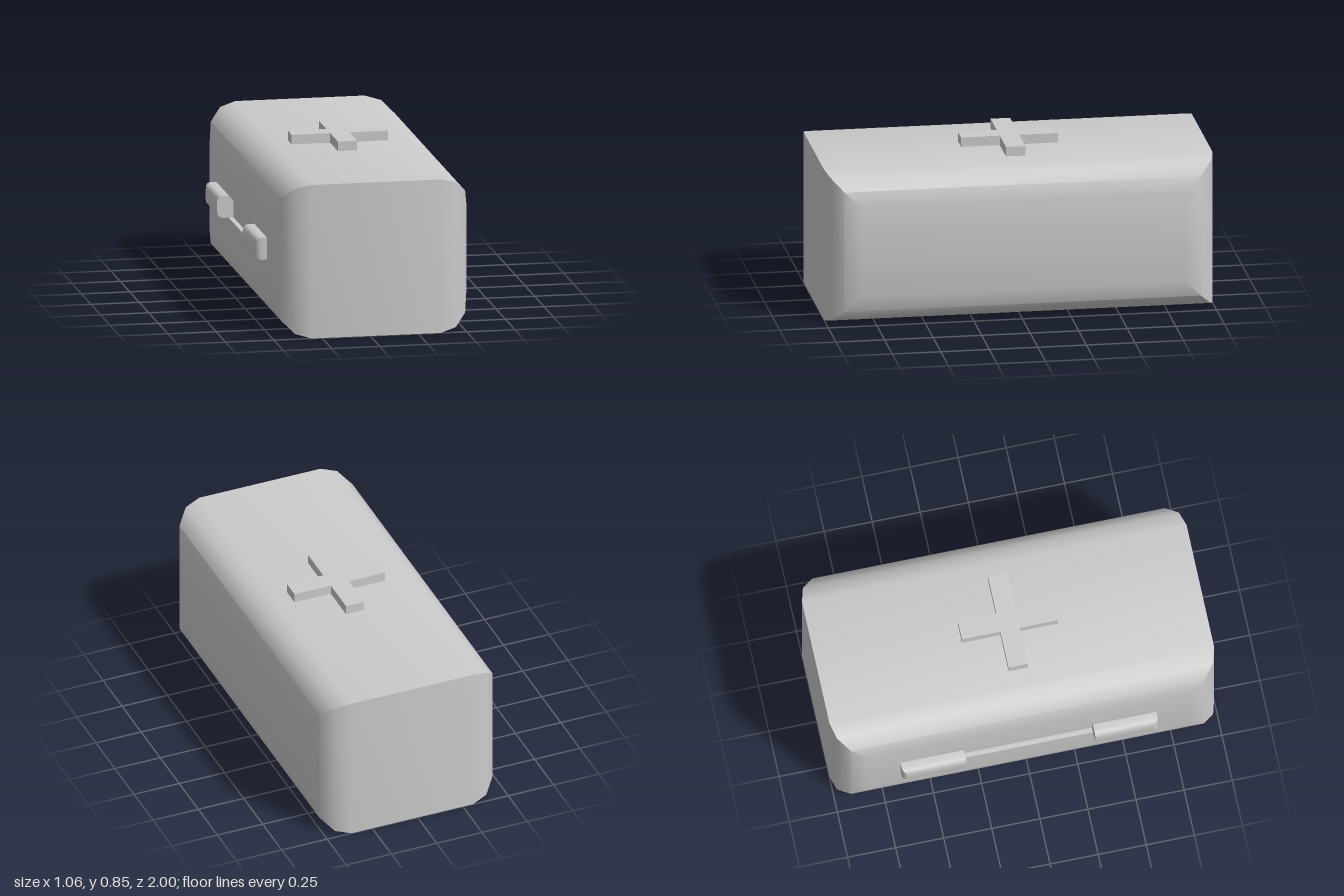
import * as THREE from 'three';
import { toCreasedNormals } from 'three/addons/utils/BufferGeometryUtils.js';

const material = new THREE.MeshStandardMaterial({ color: 0xcccccc });
const STEPS = 3;

// Closed solid from rectangles [x, y0, y1, z0, z1] stacked along x
function loftRects(rects) {
  const positions = [];
  const index = [];
  rects.forEach(([x, y0, y1, z0, z1], i) => {
    positions.push(x, y0, z0, x, y1, z0, x, y1, z1, x, y0, z1);
    if (i === 0) return;
    for (let k = 0; k < 4; k++) {
      const a = (i - 1) * 4 + k;
      const b = (i - 1) * 4 + ((k + 1) % 4);
      index.push(a, b, b + 4, a, b + 4, a + 4);
    }
  });
  const e = (rects.length - 1) * 4;
  index.push(0, 2, 1, 0, 3, 2, e, e + 1, e + 2, e, e + 2, e + 3);
  const geometry = new THREE.BufferGeometry();
  geometry.setAttribute('position', new THREE.Float32BufferAttribute(positions, 3));
  geometry.setIndex(index);
  return toCreasedNormals(geometry, 0.61);
}

function addMesh(group, name, geometry) {
  const mesh = new THREE.Mesh(geometry, material);
  mesh.name = name;
  group.add(mesh);
  return mesh;
}

// Case with mitred, rounded sides and a shallow slot in its -x face
function caseGeometry() {
  const r = 0.165;
  const cx = 0.03;
  const rounded = [];
  for (let i = 0; i <= STEPS; i++) {
    const t = (i / STEPS) * Math.PI / 2;
    const inset = r * (1 - Math.sin(t));
    rounded.push([0.5 - r + r * Math.cos(t), inset, 0.8 - inset, -1 + inset, 1 - inset]);
  }
  const slot = [0.345, 0.46, -0.335, 0.335];
  return loftRects([
    [-0.445, ...slot],
    [-0.47, ...slot],
    ...rounded.map(([x, ...rect]) => [cx - x, ...rect]),
    ...rounded.reverse().map(([x, ...rect]) => [cx + x, ...rect]),
  ]);
}

// Handle block, rounded everywhere but on the end beside the slot
function handleGeometry(side) {
  const r = 0.03;
  const rects = [];
  for (let i = 0; i <= STEPS; i++) {
    const t = (i / STEPS) * Math.PI / 2;
    const inset = r * (1 - Math.sin(t));
    const z = [side * 0.335, side * (0.665 - inset)].sort((a, b) => a - b);
    rects.push([-0.5 - r * Math.cos(t), 0.345 + inset, 0.46 - inset, ...z]);
  }
  rects.push([-0.46, ...rects[STEPS].slice(1)]);
  return loftRects(rects);
}

// Plus-shaped plate
function crossGeometry() {
  const a = 0.25;
  const b = 0.05;
  const corners = [[a, -b], [a, b], [b, b], [b, a], [-b, a], [-b, b],
    [-a, b], [-a, -b], [-b, -b], [-b, -a], [b, -a], [b, -b]];
  const shape = new THREE.Shape(corners.map(([x, y]) => new THREE.Vector2(x, y)));
  const geometry = new THREE.ExtrudeGeometry(shape, { depth: 0.05, bevelEnabled: false });
  return geometry.rotateX(-Math.PI / 2);
}

export function createModel() {
  const model = new THREE.Group();
  model.name = 'medicalCase';
  addMesh(model, 'case', caseGeometry());
  addMesh(model, 'backHandleBlock', handleGeometry(-1));
  addMesh(model, 'frontHandleBlock', handleGeometry(1));
  addMesh(model, 'lidCross', crossGeometry()).position.set(0.03, 0.8, 0);
  return model;
}
